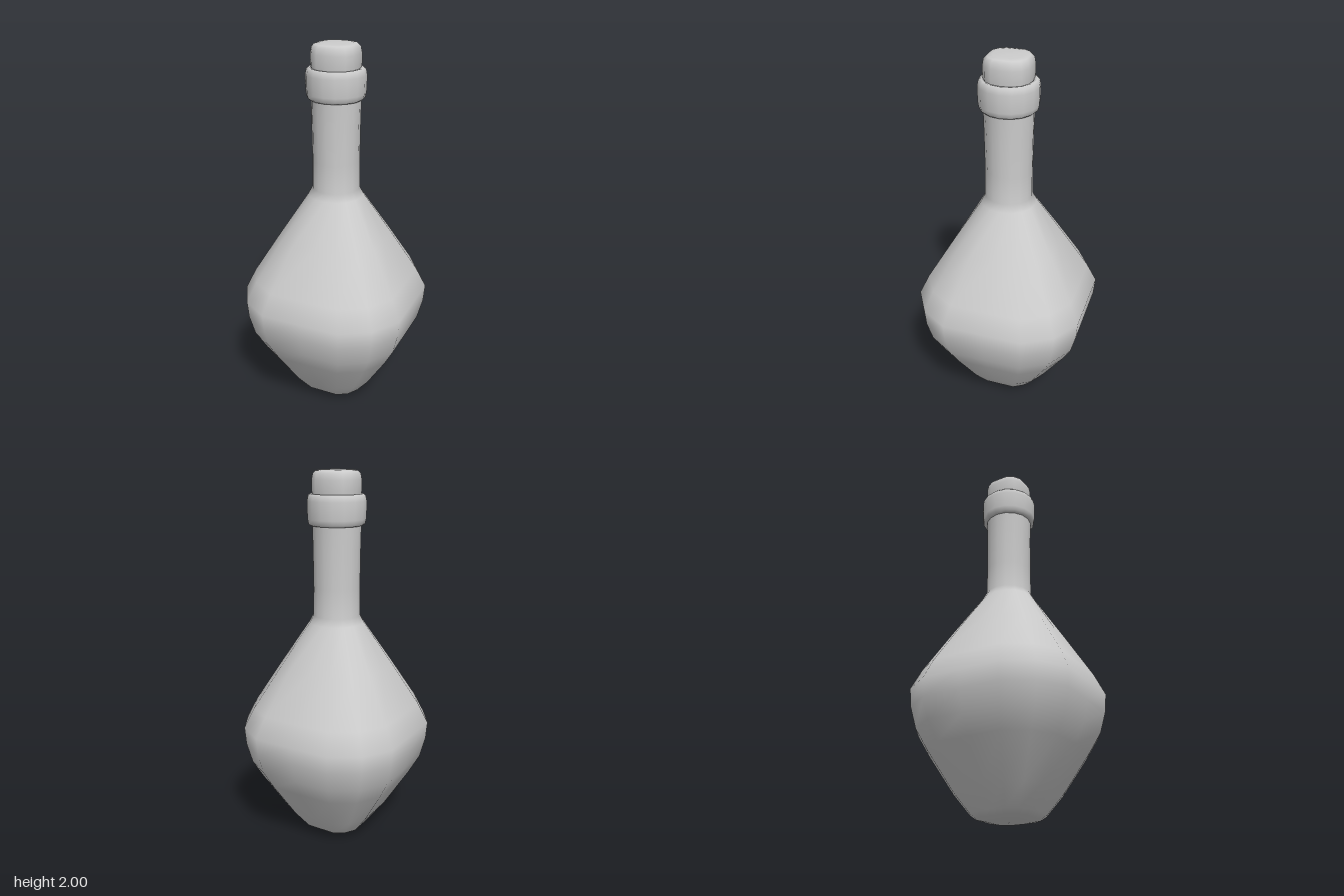
import * as THREE from 'three';

const SIDES = 16;

// Unit cross-section point: s = 0 is round, s = 1 is a soft square.
function sectionPoint(i, s) {
  const a = (i / SIDES) * Math.PI * 2;
  const square = [0, 0.475, 0.8, 1, 1, 1, 0.8, 0.475, 0, -0.475, -0.8, -1, -1, -1, -0.8, -0.475];
  const lerp = THREE.MathUtils.lerp;
  return [lerp(Math.cos(a), square[(i + 4) % SIDES], s), lerp(Math.sin(a), square[i], s)];
}

// Skin rings of [half width, y, squareness], listed bottom to top, with smooth normals.
function loft(name, rings, material) {
  const pos = [], index = [];
  for (const [r, y, s] of rings) {
    for (let i = 0; i < SIDES; i++) {
      const [x, z] = sectionPoint(i, s);
      pos.push(x * r, y, z * r);
    }
  }
  for (let k = 0; k < rings.length - 1; k++) {
    for (let i = 0; i < SIDES; i++) {
      const j = (i + 1) % SIDES;
      const a = k * SIDES + i, b = k * SIDES + j, c = a + SIDES, d = b + SIDES;
      index.push(a, c, b, b, c, d);
    }
  }
  const geo = new THREE.BufferGeometry();
  geo.setAttribute('position', new THREE.Float32BufferAttribute(pos, 3));
  geo.setIndex(index);
  geo.computeVertexNormals();
  const mesh = new THREE.Mesh(geo, material);
  mesh.name = name;
  return mesh;
}

export function createModel() {
  const group = new THREE.Group();
  group.name = 'corkedBottle';
  const material = new THREE.MeshStandardMaterial({ color: 0xcccccc, side: THREE.DoubleSide });

  // Squarish belly tapering into a round neck
  group.add(loft('bottleBody', [
    [0.002, 0, 1], [0.09, 0.003, 1], [0.145, 0.015, 1], [0.172, 0.035, 1],
    [0.25, 0.14, 1], [0.37, 0.34, 1], [0.423, 0.44, 1], [0.45, 0.55, 1],
    [0.457, 0.645, 1], [0.408, 0.755, 0.95], [0.28, 0.98, 0.75],
    [0.145, 1.21, 0.15], [0.126, 1.25, 0], [0.124, 1.4, 0],
    [0.126, 1.6, 0], [0.129, 1.75, 0],
  ], material));

  // Rounded lip around the mouth
  group.add(loft('lipRing', [
    [0.115, 1.722, 0], [0.137, 1.722, 0], [0.148, 1.732, 0], [0.153, 1.755, 0],
    [0.155, 1.8, 0], [0.155, 1.845, 0], [0.15, 1.87, 0], [0.138, 1.881, 0],
    [0.122, 1.878, 0], [0.115, 1.85, 0], [0.115, 1.722, 0],
  ], material));

  // Soft square stopper
  group.add(loft('cork', [
    [0.002, 1.78, 0.6], [0.108, 1.78, 0.6], [0.115, 1.86, 0.65], [0.12, 1.9, 0.7],
    [0.119, 1.95, 0.75], [0.113, 1.98, 0.8], [0.1, 1.994, 0.85],
    [0.075, 1.999, 0.9], [0.002, 2, 0.9],
  ], material));

  return group;
}
